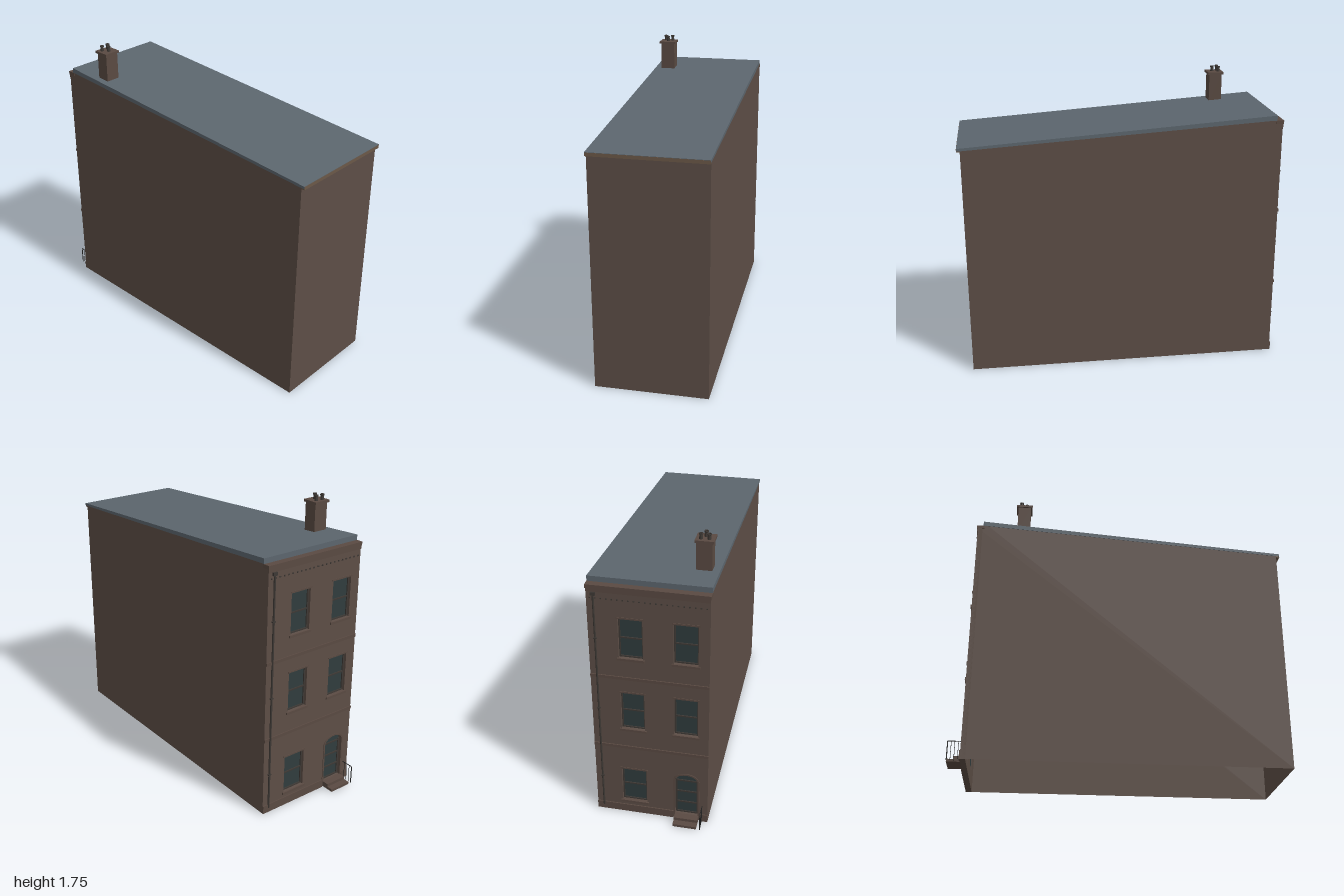
import * as THREE from 'three';

const mat = (color, side = THREE.FrontSide) => new THREE.MeshStandardMaterial({ color, side, flatShading: true });
const BRICK = mat(0x5d4e46, THREE.DoubleSide);
const TRIM = mat(0x5a4a42);
const FASCIA = mat(0x6b5848);
const SLATE = mat(0x5c666e);
const GLASS = mat(0x303c3d, THREE.DoubleSide);
const FRAME = mat(0x3e3935);
const IRON = mat(0x222222);

const HALF = 0.335;      // half of the house width
const FACE = -0.92;      // plane of the street facade
const GLASS_Z = FACE + 0.022;

export function createModel() {
  const house = new THREE.Group();
  house.name = 'terraceHouse';

  const add = (name, geo, material, parent = house) => {
    const m = new THREE.Mesh(geo, material);
    m.name = name;
    parent.add(m);
    return m;
  };
  // Box given by its limits on each axis
  const box = (name, [x0, x1], [y0, y1], [z0, z1], material, parent) => {
    const g = new THREE.BoxGeometry(x1 - x0, y1 - y0, z1 - z0);
    g.translate((x0 + x1) / 2, (y0 + y1) / 2, (z0 + z1) / 2);
    return add(name, g, material, parent);
  };
  const rod = (name, a, b, r, material, parent) => {
    const path = new THREE.LineCurve3(new THREE.Vector3(...a), new THREE.Vector3(...b));
    return add(name, new THREE.TubeGeometry(path, 1, r, 8), material, parent);
  };
  // Shape from [z, y] points, or [x, y] for the facade
  const polygon = pts => new THREE.Shape(pts.map(p => new THREE.Vector2(...p)));
  // Section in the z-y plane, extruded across the width
  const across = (name, pts, width, material) => {
    const g = new THREE.ExtrudeGeometry(polygon(pts), { depth: width, bevelEnabled: false });
    g.rotateY(-Math.PI / 2).translate(width / 2, 0, 0);
    return add(name, g, material);
  };

  // Side and garden walls; the shell is open underneath
  for (const s of [-1, 1]) {
    const g = new THREE.ShapeGeometry(polygon([
      [0.98, 0], [0.98, 1.415], [-0.88, 1.548], [-0.88, 1.51], [FACE, 1.51], [FACE, 0]]));
    g.rotateY(-Math.PI / 2).translate(s * HALF, 0, 0);
    add('sideWall', g, BRICK);
  }
  const gardenWall = new THREE.PlaneGeometry(2 * HALF, 1.415);
  add('gardenWall', gardenWall.translate(0, 1.415 / 2, 0.98), BRICK);

  // Openings: [x0, x1, y0, y1]
  const windows = [];
  for (const cx of [0.1, -0.205]) {
    for (const y of [0.615, 1.09]) windows.push([cx - 0.068, cx + 0.068, y, y + 0.245]);
  }
  windows.push([0.03, 0.178, 0.085, 0.32]);
  const door = { x0: -0.275, x1: -0.14, y0: 0.035, spring: 0.285, rise: 0.045 };

  const doorShape = (grow = 0, C = THREE.Path) => {
    const cx = (door.x0 + door.x1) / 2, r = (door.x1 - door.x0) / 2 + grow;
    const p = new C();
    p.moveTo(cx - r, door.y0);
    p.lineTo(cx + r, door.y0);
    p.lineTo(cx + r, door.spring);
    p.absellipse(cx, door.spring, r, door.rise + grow, 0, Math.PI, false);
    p.lineTo(cx - r, door.y0);
    return p;
  };

  // Street facade with real openings
  const wall = polygon([[-HALF, 0], [HALF, 0], [HALF, 1.51], [-HALF, 1.51]]);
  for (const [x0, x1, y0, y1] of windows) {
    wall.holes.push(new THREE.Path([[x0, y0], [x0, y1], [x1, y1], [x1, y0]].map(p => new THREE.Vector2(...p))));
  }
  wall.holes.push(doorShape());
  const facade = new THREE.ExtrudeGeometry(wall, { depth: 0.03, bevelEnabled: false, curveSegments: 12 });
  add('streetFacade', facade.translate(0, 0, FACE), BRICK);

  // Sash windows
  for (const [x0, x1, y0, y1] of windows) {
    const w = new THREE.Group();
    w.name = 'sashWindow';
    house.add(w);
    const mid = (y0 + y1) / 2, t = 0.008, z = [GLASS_Z - 0.007, GLASS_Z];
    box('glass', [x0, x1], [y0, y1], [GLASS_Z, GLASS_Z + 0.003], GLASS, w);
    for (const x of [x0, x1 - t]) box('stile', [x, x + t], [y0, y1], z, FRAME, w);
    for (const y of [y0, mid - t / 2, y1 - t]) box('rail', [x0, x1], [y, y + t], z, FRAME, w);
    box('sill', [x0 - 0.01, x1 + 0.01], [y0 - 0.014, y0], [FACE - 0.008, FACE + 0.02], TRIM, w);
    box('lintel', [x0 - 0.008, x1 + 0.008], [y1, y1 + 0.01], [FACE - 0.003, FACE + 0.01], TRIM, w);
  }

  // Arched doorway with transom, panels and surround
  const entrance = new THREE.Group();
  entrance.name = 'entrance';
  house.add(entrance);
  add('doorLeaf', new THREE.ShapeGeometry(doorShape(0, THREE.Shape)).translate(0, 0, GLASS_Z), GLASS, entrance);
  for (const y of [0.035, 0.11, 0.19, 0.27]) {
    box('doorRail', [door.x0, door.x1], [y, y + 0.009], [GLASS_Z - 0.006, GLASS_Z], FRAME, entrance);
  }
  for (const x of [door.x0, door.x1 - 0.01]) {
    box('doorPost', [x, x + 0.01], [door.y0, door.spring], [GLASS_Z - 0.006, GLASS_Z], FRAME, entrance);
  }
  const surround = doorShape(0.01, THREE.Shape);
  surround.holes.push(doorShape());
  const surroundGeo = new THREE.ExtrudeGeometry(surround, { depth: 0.01, bevelEnabled: false });
  add('doorSurround', surroundGeo.translate(0, 0, FACE - 0.004), TRIM, entrance);

  // Steps and iron handrail
  box('upperStep', [-0.28, -0.14], [0, 0.034], [-0.962, FACE], TRIM, entrance);
  box('lowerStep', [-0.28, -0.14], [0, 0.016], [-1, -0.962], TRIM, entrance);
  const railX = -0.303;
  rod('handrail', [railX, 0.113, FACE], [railX, 0.113, -0.998], 0.0025, IRON, entrance);
  for (let i = 0; i < 4; i++) {
    const z = -0.935 - i * 0.0203;
    rod('baluster', [railX, 0, z], [railX, 0.113, z], i === 3 ? 0.003 : 0.0015, IRON, entrance);
  }

  // Plinth, string courses and dentils on the facade
  box('plinth', [-HALF, door.x0 - 0.01], [0, 0.05], [FACE - 0.006, FACE], TRIM);
  box('plinth', [door.x1 + 0.01, HALF], [0, 0.05], [FACE - 0.006, FACE], TRIM);
  for (const y of [0.475, 0.95]) {
    box('stringCourse', [-HALF, HALF], [y, y + 0.018], [FACE - 0.006, FACE], TRIM);
  }
  for (let i = 0; i < 22; i++) {
    const x = -0.315 + i * 0.03;
    box('dentil', [x - 0.004, x + 0.004], [1.445, 1.453], [FACE - 0.004, FACE], FRAME);
  }

  // Cornice and parapet coping
  box('cornice', [-HALF, HALF], [1.485, 1.505], [FACE - 0.004, FACE], TRIM);
  box('coping', [-HALF - 0.003, HALF + 0.003], [1.505, 1.526], [FACE - 0.006, -0.878], TRIM);

  // Drainpipe with hopper and brackets
  const pipeX = 0.295, pipeZ = FACE - 0.005;
  rod('drainpipe', [pipeX, 0.03, pipeZ], [pipeX, 1.475, pipeZ], 0.006, FRAME);
  box('hopper', [pipeX - 0.013, pipeX + 0.013], [1.465, 1.485], [FACE - 0.012, FACE], FRAME);
  for (const y of [0.25, 0.74, 1.2]) {
    box('pipeBracket', [pipeX - 0.01, pipeX + 0.01], [y, y + 0.007], [FACE - 0.012, FACE], FRAME);
  }

  // Single-pitch roof and rear eaves
  across('roof', [[1, 1.426], [-0.885, 1.557], [-0.885, 1.526], [-0.86, 1.526], [0.97, 1.412], [1, 1.412]],
    2 * HALF + 0.005, SLATE);
  box('eavesFascia', [-HALF - 0.001, HALF + 0.001], [1.404, 1.424], [0.98, 1.001], FASCIA);

  // Chimney stack with cap and three pots
  const chimney = new THREE.Group();
  chimney.name = 'chimney';
  house.add(chimney);
  box('stack', [-0.296, -0.207], [1.528, 1.708], [-0.675, -0.595], TRIM, chimney);
  box('cap', [-0.305, -0.2], [1.704, 1.718], [-0.685, -0.585], TRIM, chimney);
  for (const [x, z] of [[-0.275, -0.655], [-0.23, -0.655], [-0.2525, -0.62]]) {
    const pot = new THREE.LatheGeometry([[0, 0], [0.011, 0], [0.009, 0.024], [0.012, 0.026], [0.012, 0.034], [0.007, 0.034], [0.007, 0.01], [0, 0.01]]
      .map(p => new THREE.Vector2(...p)), 12);
    add('chimneyPot', pot.translate(x, 1.717, z), FRAME, chimney);
  }
  return house;
}
